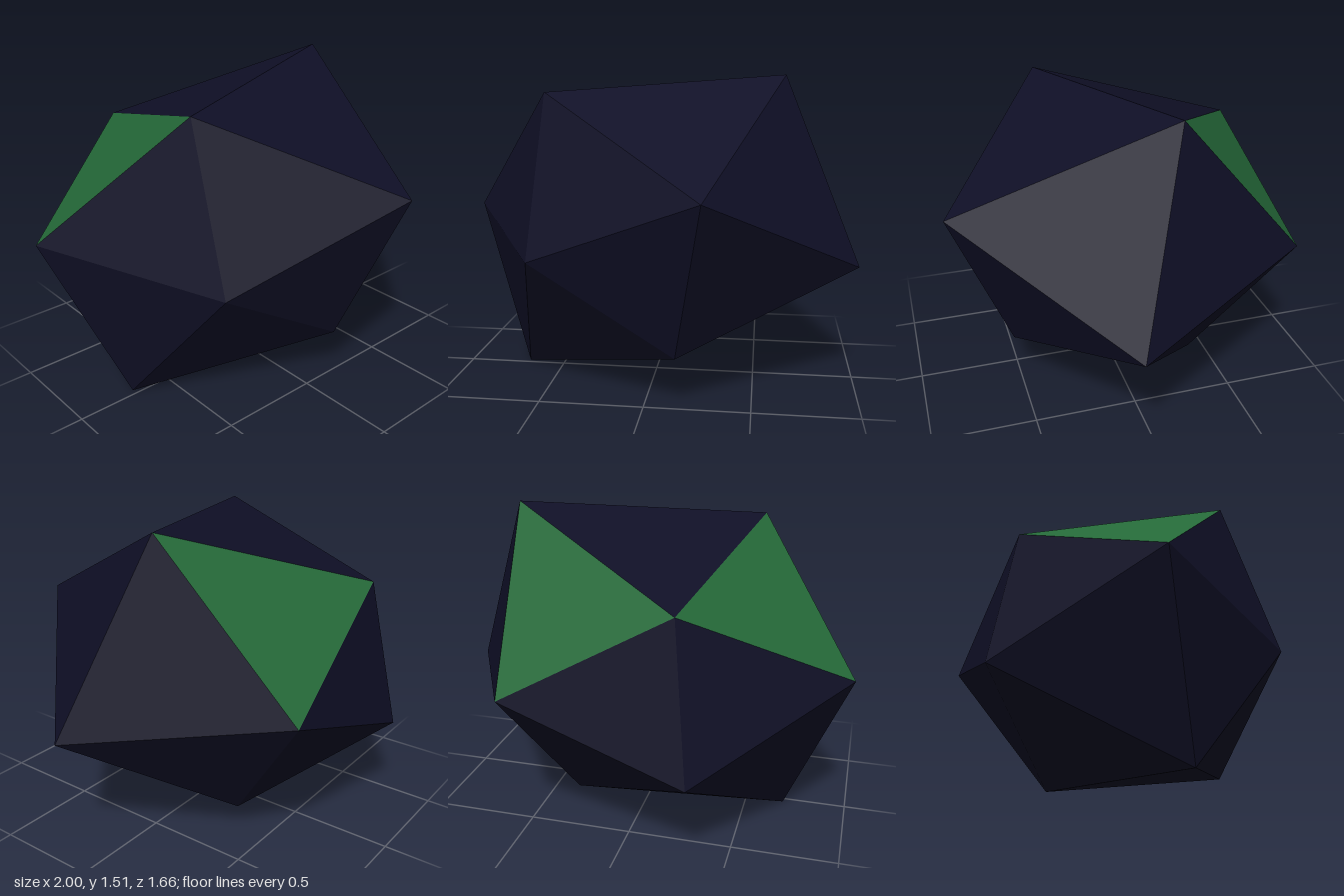
import * as THREE from 'three';

// Irregular twenty-sided stone: a top point, two staggered rings of five, a bottom point
const top = [-0.5, 1.44, 0.25];
const upper = [
  [-0.27, 1.19, -0.71], [0.63, 1.515, -0.145], [0.285, 1.025, 0.83],
  [-0.54, 0.68, 0.515], [-1, 0.81, -0.275],
];
const lower = [
  [0.51, 0.765, -0.8], [1, 0.61, 0.125], [0.15, 0.255, 0.53],
  [-0.69, 0, -0.03], [-0.35, 0.465, -0.835],
];
const bottom = [0.3, 0.13, -0.355];

function facetMesh(name, faces, material) {
  const geometry = new THREE.BufferGeometry();
  geometry.setAttribute('position', new THREE.Float32BufferAttribute(faces.flat(2), 3));
  geometry.computeVertexNormals(); // unshared corners give flat facets
  const mesh = new THREE.Mesh(geometry, material);
  mesh.name = name;
  return mesh;
}

export function createModel() {
  const navy = new THREE.MeshStandardMaterial({ color: 0x0f0f26 });
  navy.name = 'dark navy';
  const green = new THREE.MeshStandardMaterial({ color: 0x246838 });
  green.name = 'green';

  const darkFaces = [], greenFaces = [];
  for (let i = 0; i < 5; i++) {
    const j = (i + 1) % 5;
    // Top cap, with one green facet
    (i === 4 ? greenFaces : darkFaces).push([top, upper[j], upper[i]]);
    // Zigzag band, with one green facet at the back
    (i === 0 ? greenFaces : darkFaces).push([upper[i], upper[j], lower[i]]);
    darkFaces.push([lower[i], upper[j], lower[j]]);
    // Bottom cap
    darkFaces.push([bottom, lower[i], lower[j]]);
  }

  const group = new THREE.Group();
  group.name = 'facetedStone';
  group.add(facetMesh('darkFacets', darkFaces, navy));
  group.add(facetMesh('greenFacets', greenFaces, green));
  return group;
}
